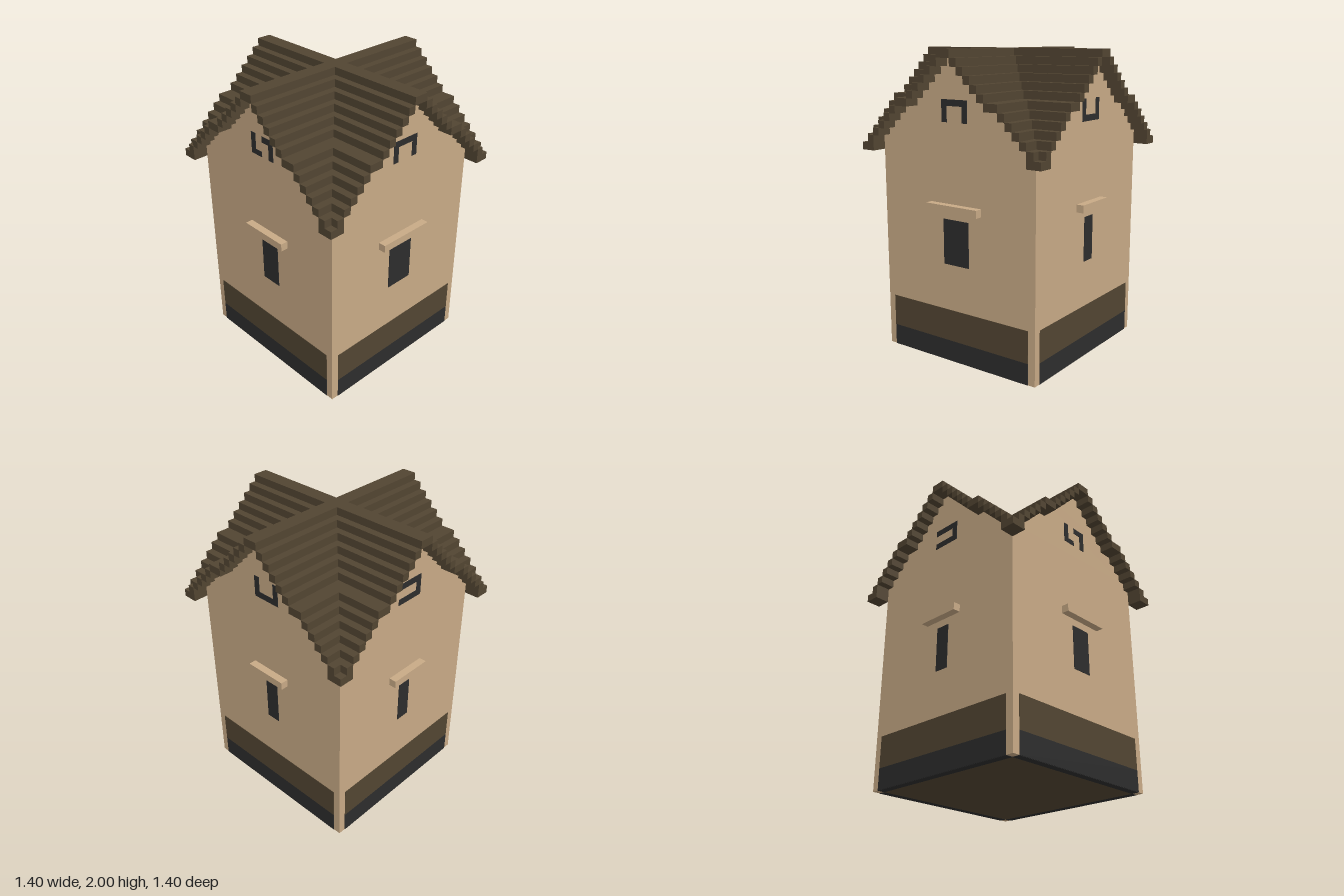
import * as THREE from 'three';

const material = (name, color) => {
  const m = new THREE.MeshStandardMaterial({ color });
  m.name = name;
  return m;
};

// Roof courses: inner offset, outer offset, underside, top
const courses = [[0, 0.05, 1.95, 2]];
const edges = [0.05, 0.1, 0.15, 0.2, 0.25, 0.3, 0.4, 0.45, 0.5, 0.55, 0.6];
for (let i = 0; i < edges.length - 1; i++) {
  const top = 1.95 - i * 0.05;
  courses.push([edges[i], edges[i + 1], top - 0.05, top]);
}
courses.push([0.6, 0.65, 1.35, 1.45], [0.65, 0.7, 1.35, 1.4]);

export function createModel() {
  const model = new THREE.Group();
  model.name = 'house';
  const plaster = material('tanPlaster', 0xc8aa86);
  const wood = material('darkBrownWood', 0x524532);
  const charcoal = material('charcoal', 0x2d2d2d);

  // Box given by its two corners
  const box = (parent, name, mat, x0, x1, y0, y1, z0, z1) => {
    const mesh = new THREE.Mesh(new THREE.BoxGeometry(x1 - x0, y1 - y0, z1 - z0), mat);
    mesh.position.set((x0 + x1) / 2, (y0 + y1) / 2, (z0 + z1) / 2);
    mesh.name = name;
    parent.add(mesh);
  };

  // Main walls
  box(model, 'walls', plaster, -0.6, 0.6, 0, 1.45, -0.6, 0.6);

  // Two crossing gable prisms with stepped tops
  const right = [];
  for (const [a, b, under] of courses) {
    if (b < 0.56) right.push([a, under], [b, under]);
  }
  right.push([0.55, 1.45]);
  const left = right.map(([x, y]) => [-x, y]).reverse();
  const outline = new THREE.Shape([...right, ...left].reverse().map(([x, y]) => new THREE.Vector2(x, y)));
  const gableGeometry = new THREE.ExtrudeGeometry(outline, { depth: 1.2, bevelEnabled: false });
  gableGeometry.translate(0, 0, -0.6);
  for (const turn of [0, Math.PI / 2]) {
    const gable = new THREE.Mesh(gableGeometry, plaster);
    gable.rotation.y = turn;
    gable.name = 'gable';
    model.add(gable);
  }

  // Stepped cross roof, mitred along the valleys
  const roof = new THREE.Group();
  roof.name = 'roof';
  model.add(roof);
  const span = (from, to, sign) => (sign > 0 ? [from, to] : [-to, -from]);
  for (const [a, b, y0, y1] of courses) {
    for (const sx of [-1, 1]) {
      for (const sz of [-1, 1]) {
        box(roof, 'roofCourse', wood, ...span(a, b, sx), y0, y1, ...span(a, 0.7, sz));
        if (b < 0.7) box(roof, 'roofCourse', wood, ...span(b, 0.7, sx), y0, y1, ...span(a, b, sz));
      }
    }
  }

  // Each side: window, lintel and gable openings as [x0, x1, y0, y1]
  const sides = [
    { name: 'frontSide', turn: 0, window: [-0.05, 0.1], lintel: [-0.15, 0.2],
      openings: [[-0.1, -0.06, 1.56, 1.7], [-0.06, -0.005, 1.56, 1.595],
        [0, 0.06, 1.66, 1.7], [0.06, 0.1, 1.56, 1.7]] },
    { name: 'rightSide', turn: Math.PI / 2, window: [-0.1, 0.1], lintel: [-0.2, 0.2],
      openings: [[-0.1, -0.06, 1.56, 1.7], [-0.06, 0.06, 1.66, 1.7], [0.06, 0.1, 1.56, 1.7]] },
    { name: 'backSide', turn: Math.PI, window: [-0.05, 0.05], lintel: [-0.15, 0.15],
      openings: [[-0.1, -0.06, 1.56, 1.7], [-0.06, 0.06, 1.56, 1.6], [0.06, 0.1, 1.56, 1.7]] },
    { name: 'leftSide', turn: -Math.PI / 2, window: [-0.05, 0.05], lintel: [-0.15, 0.15],
      openings: [[-0.1, 0.06, 1.56, 1.6], [-0.1, 0.06, 1.66, 1.7], [0.06, 0.1, 1.56, 1.7]] },
  ];
  for (const side of sides) {
    const group = new THREE.Group();
    group.name = side.name;
    group.rotation.y = side.turn;
    model.add(group);
    const plate = (name, mat, x0, x1, y0, y1) => box(group, name, mat, x0, x1, y0, y1, 0.599, 0.603);
    plate('plinthBand', charcoal, -0.55, 0.55, 0, 0.14);
    plate('woodBand', wood, -0.55, 0.55, 0.14, 0.35);
    plate('window', charcoal, ...side.window, 0.655, 0.95);
    for (const o of side.openings) plate('gableOpening', charcoal, ...o);
    box(group, 'lintel', plaster, ...side.lintel, 1, 1.05, 0.6, 0.65);
    // Dark rim on the underside
    box(group, 'baseRim', charcoal, -0.55, 0.55, -0.002, 0.002, 0.55, 0.6);
  }

  // Underside floor
  box(model, 'floor', wood, -0.55, 0.55, -0.002, 0.002, -0.55, 0.55);
  return model;
}
